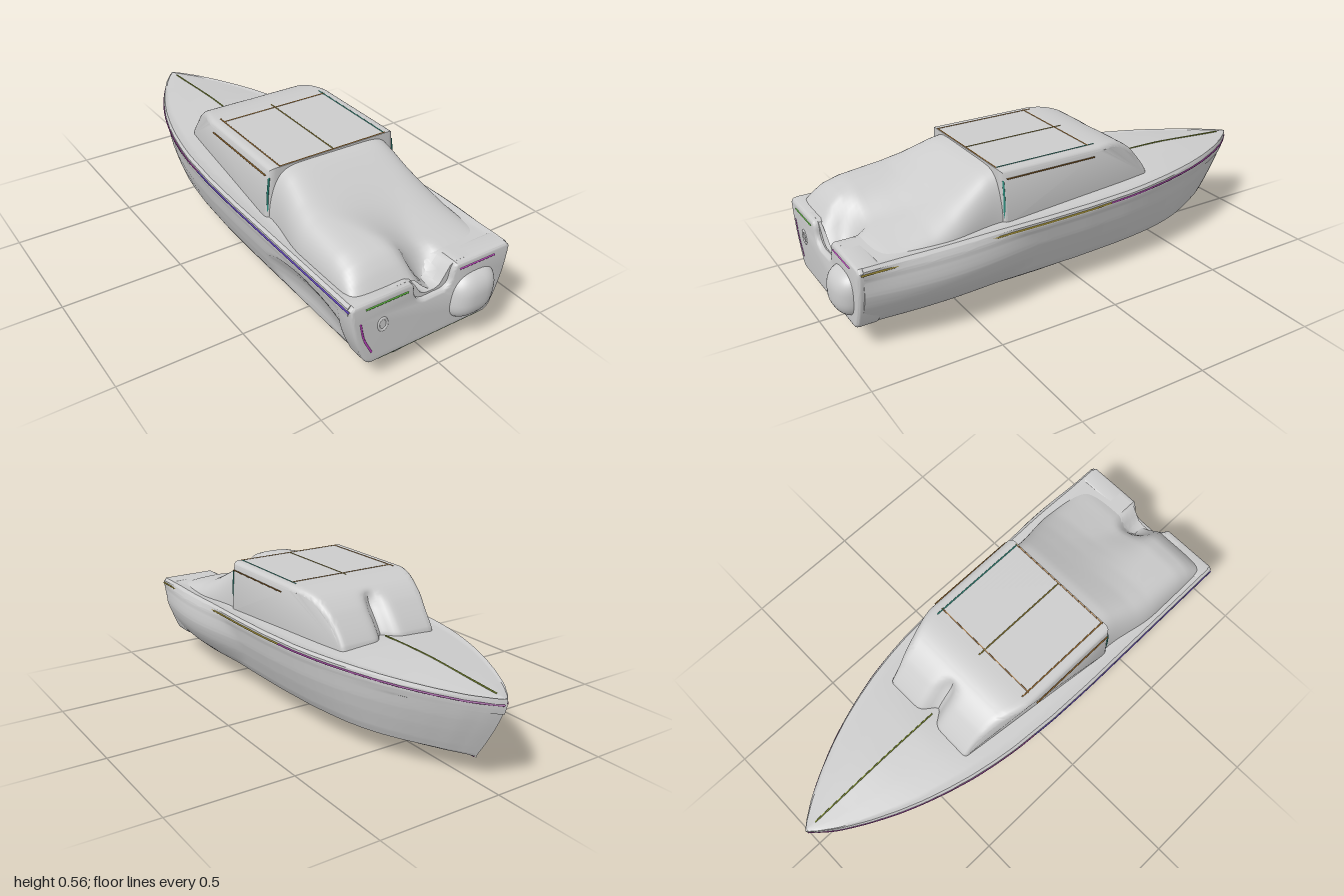
import * as THREE from 'three';
import { toCreasedNormals } from 'three/addons/utils/BufferGeometryUtils.js';

const CX = -0.012; // hull centreline
const { clamp, lerp, smoothstep: smooth } = THREE.MathUtils;

// Linear lookup in a short [key, value] table with ascending keys
function lookup(table, k) {
  if (k <= table[0][0]) return table[0][1];
  for (let i = 1; i < table.length; i++) {
    const [k0, v0] = table[i - 1], [k1, v1] = table[i];
    if (k <= k1) return v0 + (v1 - v0) * (k - k0) / (k1 - k0);
  }
  return table[table.length - 1][1];
}

// Surface over a grid of nu x nv cells; faces point along dP/du x dP/dv
function surface(nu, nv, point) {
  const pos = [], idx = [];
  for (let j = 0; j <= nv; j++) for (let i = 0; i <= nu; i++) pos.push(...point(i, j));
  for (let j = 0; j < nv; j++) for (let i = 0; i < nu; i++) {
    const a = j * (nu + 1) + i, c = a + nu + 1;
    idx.push(a, a + 1, c, a + 1, c + 1, c);
  }
  const g = new THREE.BufferGeometry();
  g.setAttribute('position', new THREE.Float32BufferAttribute(pos, 3));
  g.setIndex(idx);
  g.computeVertexNormals();
  return g;
}

const widths = [[-1, 0], [-0.97, 0.03], [-0.9, 0.085], [-0.8, 0.143], [-0.7, 0.192], [-0.6, 0.233],
  [-0.5, 0.266], [-0.4, 0.293], [-0.3, 0.313], [-0.2, 0.328], [0, 0.343], [0.2, 0.348], [1, 0.346]];
const halfWidth = z => lookup(widths, z);

// Soft swelling, 1 in the middle and 0 outside the radii
const swell = (a, b, power = 1) => Math.pow(Math.max(0, 1 - a * a - b * b), power);
// Hollow leading down to the notch in the transom
const notchDip = (x, z) => 0.085 * Math.exp(-Math.pow((x + 0.01) / 0.07, 4)) * smooth(z, 0.78, 0.88);

export function createModel() {
  const model = new THREE.Group();
  const grey = new THREE.MeshStandardMaterial({ color: 0xcccccc, side: THREE.DoubleSide });
  const add = (name, geo, mat = grey) => {
    const m = new THREE.Mesh(geo, mat);
    m.name = name;
    model.add(m);
    return m;
  };
  const trims = {};
  const trim = (name, color, pts, r = 0.004) => {
    trims[color] ??= new THREE.MeshStandardMaterial({ color });
    const path = new THREE.CatmullRomCurve3(pts.map(p => new THREE.Vector3(...p)), false, 'centripetal');
    return add(name, new THREE.TubeGeometry(path, pts.length * 6, r, 6), trims[color]);
  };

  // Hull: one half section, mirrored and lofted from the raked stem to the stern
  const half = [[0, 0.083], [0.4, 0.086], [0.68, 0.09], [0.76, 0.097], [0.81, 0.125], [0.89, 0.19], [0.95, 0.25],
    [0.985, 0.31], [1, 0.325], [1, 0.35], [0.97, 0.361], [0.9, 0.357], [0.5, 0.36], [0, 0.362]];
  const section = [...half, ...half.slice(0, -1).reverse().map(([x, y]) => [-x, y])];
  const SUB = 8, NU = (section.length - 1) * SUB, NZ = 64;
  const hull = surface(NU, NZ + 1, (i, j) => {
    if (j > NZ) return [CX, 0.2, 0.93];
    const z = -1 + 1.93 * Math.pow(j / NZ, 1.2);
    const k = Math.min(Math.floor(i / SUB), section.length - 2), f = i / SUB - k;
    const fx = lerp(section[k][0], section[k + 1][0], f), y = lerp(section[k][1], section[k + 1][1], f);
    const x = CX + fx * halfWidth(z);
    const bow = 1 - smooth(z, -1, -0.35);
    const rake = 0.13 * Math.pow(clamp((0.34 - y) / 0.25, 0, 1), 1.3) * bow;
    let dy = y > 0.3 ? -0.012 * bow : 0;
    if (y > 0.356) {
      dy += 0.016 * (1 - Math.abs(fx)) * smooth(-z, 0.2, 0.45) * (1 - smooth(-z, 0.6, 1));
      dy -= notchDip(x, z);
    }
    // Swollen bottom, a bulge on the left side and a hollow on the right side
    const low = 1 - smooth(y, 0.092, 0.12);
    dy -= low * Math.max(0.085 * swell((x + 0.14) / 0.115, (z - 0.72) / (z > 0.72 ? 0.235 : 0.52)),
      0.045 * swell((x - 0.12) / 0.125, (z - 0.25) / 0.68));
    const side = fx > 0
      ? 0.045 * swell((y - 0.215) / 0.16, (z - 0.62) / 0.4, 1.5)
      : -0.03 * swell((y - 0.2) / 0.1, (z - 0.65) / 0.25);
    return [x + Math.abs(side) * smooth(Math.abs(fx), 0.6, 0.8), y + dy, z + rake];
  });
  add('hull', toCreasedNormals(hull, 0.6));

  // Transom with a rounded notch in the middle
  const t = new THREE.Shape();
  t.moveTo(-0.26, 0.09);
  t.lineTo(0.235, 0.09);
  t.quadraticCurveTo(0.265, 0.09, 0.28, 0.13);
  t.quadraticCurveTo(0.325, 0.23, 0.334, 0.345);
  t.lineTo(0.32, 0.36);
  t.lineTo(0.09, 0.36);
  t.quadraticCurveTo(0.075, 0.35, 0.07, 0.31);
  t.quadraticCurveTo(0.065, 0.275, 0.03, 0.27);
  t.lineTo(-0.045, 0.268);
  t.quadraticCurveTo(-0.09, 0.275, -0.094, 0.32);
  t.quadraticCurveTo(-0.095, 0.352, -0.115, 0.36);
  t.lineTo(-0.345, 0.36);
  t.lineTo(-0.358, 0.345);
  t.quadraticCurveTo(-0.35, 0.23, -0.3, 0.13);
  t.quadraticCurveTo(-0.285, 0.09, -0.26, 0.09);
  const transom = new THREE.ExtrudeGeometry(t, { depth: 0.065, bevelThickness: 0.012, bevelSize: 0.012,
    bevelOffset: -0.012, bevelSegments: 3, curveSegments: 8 });
  add('transom', toCreasedNormals(transom, 0.6)).position.z = 0.873;

  // Squarish swelling on the left half of the transom
  const swelling = new THREE.SphereGeometry(1, 40, 28);
  const sp = swelling.attributes.position;
  const square = v => Math.sign(v) * Math.pow(Math.abs(v), 0.75);
  for (let i = 0; i < sp.count; i++) {
    const y = square(sp.getY(i));
    sp.setXYZ(i, 0.17 + square(sp.getX(i)) * 0.1 + y * 0.012, 0.21 + y * 0.095, 0.925 + sp.getZ(i) * 0.075);
  }
  swelling.computeVertexNormals();
  add('sternSwelling', swelling);

  // Cabin: side profile extruded across; sides lean in, the front narrows and
  // its sloping windscreen is parted by a groove into two panes
  const p = new THREE.Shape();
  p.moveTo(-0.36, 0.33);
  p.lineTo(0.37, 0.33);
  p.lineTo(0.365, 0.375);
  p.quadraticCurveTo(0.34, 0.42, 0.28, 0.485);
  p.quadraticCurveTo(0.225, 0.535, 0.18, 0.546);
  p.quadraticCurveTo(0.14, 0.558, 0.08, 0.558);
  p.lineTo(-0.36, 0.558);
  const cabin = new THREE.ExtrudeGeometry(p, { depth: 0.54, steps: 32, bevelThickness: 0.025, bevelSize: 0.018,
    bevelOffset: -0.018, bevelSegments: 4, curveSegments: 10 });
  cabin.translate(0, 0, -0.27).rotateY(Math.PI / 2);
  const cp = cabin.attributes.position;
  for (let i = 0; i < cp.count; i++) {
    const x = cp.getX(i), y = cp.getY(i), z = cp.getZ(i);
    const lean = 1 - 0.06 * smooth(y, 0.47, 0.56);
    cp.setX(i, CX + x * lean * (1 - 0.26 * smooth(-z, 0.05, 0.34)));
    cp.setZ(i, z + 0.06 * Math.exp(-Math.pow(x / 0.045, 2)) * smooth(-z, 0.2, 0.3));
  }
  cabin.computeVertexNormals();
  add('cabin', toCreasedNormals(cabin, 0.6));

  // Cockpit cover: falls from the cabin roof, with a hump on the right quarter
  const humpSide = [[0.34, 0.556], [0.4, 0.547], [0.46, 0.525], [0.52, 0.502], [0.6, 0.482], [0.7, 0.469],
    [0.78, 0.458], [0.84, 0.437], [0.88, 0.405], [0.92, 0.35]];
  const lowSide = [[0.34, 0.556], [0.4, 0.535], [0.48, 0.49], [0.56, 0.45], [0.65, 0.415], [0.75, 0.388],
    [0.82, 0.372], [0.87, 0.352]];
  add('cockpitCover', surface(48, 36, (i, j) => {
    const u = -Math.cos(Math.PI * i / 48), z = 0.92 - 0.58 * j / 36;
    const x = CX + u * (0.283 + 0.037 * smooth(z, 0.36, 0.62));
    const blend = lerp(0.24, 0.08, smooth(z, 0.4, 0.88));
    const w = smooth(x, -0.05 - blend, -0.05 + blend);
    const h = lookup(humpSide, z) * (1 - w) + lookup(lowSide, z) * w;
    const round = u > 0 ? lerp(8, 4, smooth(z, 0.36, 0.65)) : 8;
    return [x, 0.33 + (h - 0.33) * Math.sqrt(1 - Math.pow(Math.abs(u), round)) - notchDip(x, z) * w, z];
  }));

  // Transom ring handle
  const ringHandle = add('transomRing', new THREE.TorusGeometry(0.018, 0.005, 8, 20));
  ringHandle.position.set(-0.225, 0.243, 0.949);
  ringHandle.scale.y = 1.4;
  ringHandle.rotation.z = 0.2;

  for (const s of [-1, 1]) {
    // Rub rails
    const along = (z0, z1) => Array.from({ length: 13 }, (_, k) => {
      const z = z0 + (z1 - z0) * k / 12;
      return [CX + s * halfWidth(z), 0.338 - 0.012 * (1 - smooth(z, -1, -0.35)), z];
    });
    trim('aftRubRail', s < 0 ? 0x5b3fb0 : 0x8a7a2e, along(0.94, -0.1));
    trim('foreRubRail', 0x8a3a8a, along(-0.1, -0.995));
    // Cabin side frames and roof edge strips
    const x = CX + s * 0.284;
    trim('cabinRearPost', 0x2f8f80, [[x, 0.37, 0.35], [x, 0.45, 0.35], [x - s * 0.006, 0.52, 0.35]]);
    trim('cabinSideStrip', 0xa07030, [[CX + s * 0.285, 0.525, 0.34], [CX + s * 0.285, 0.525, -0.05]], 0.003);
    trim('roofStrip', s < 0 ? 0xa07030 : 0x2f8f80, [[CX + s * 0.235, 0.557, 0.355], [CX + s * 0.235, 0.557, -0.08]], 0.003);
  }
  trim('roofCentreStrip', 0x8a7a2e, [[CX, 0.557, 0.355], [CX, 0.557, -0.08]], 0.003);
  for (const z of [0.355, -0.05]) trim('roofCrossStrip', 0xa07030, [[CX - 0.24, 0.557, z], [CX + 0.24, 0.557, z]], 0.003);

  // Foredeck centre strip, transom strips, bottom edge and keel
  trim('foredeckStrip', 0x7f8f2e, [[CX, 0.377, -0.34], [CX, 0.377, -0.5], [CX, 0.375, -0.6], [CX, 0.362, -0.8],
    [CX, 0.352, -0.95]], 0.003);
  trim('rightTransomStrip', 0x5fbf3f, [[-0.3, 0.333, 0.949], [-0.125, 0.333, 0.949]]);
  trim('leftTransomStrip', 0xd050d0, [[0.1, 0.335, 0.949], [0.26, 0.335, 0.949]]);
  trim('rightTransomSeam', 0xc040c0, [[-0.318, 0.285, 0.948], [-0.3, 0.21, 0.948], [-0.265, 0.14, 0.948]]);
  trim('transomBottomEdge', 0x5fbf3f, [[-0.23, 0.093, 0.942], [0.23, 0.093, 0.942]]);
  trim('keelStrip', 0x8a3a8a, [[CX, 0.083, 0.9], [CX, 0.083, -0.5], [CX, 0.083, -0.86]], 0.003);

  return model;
}
